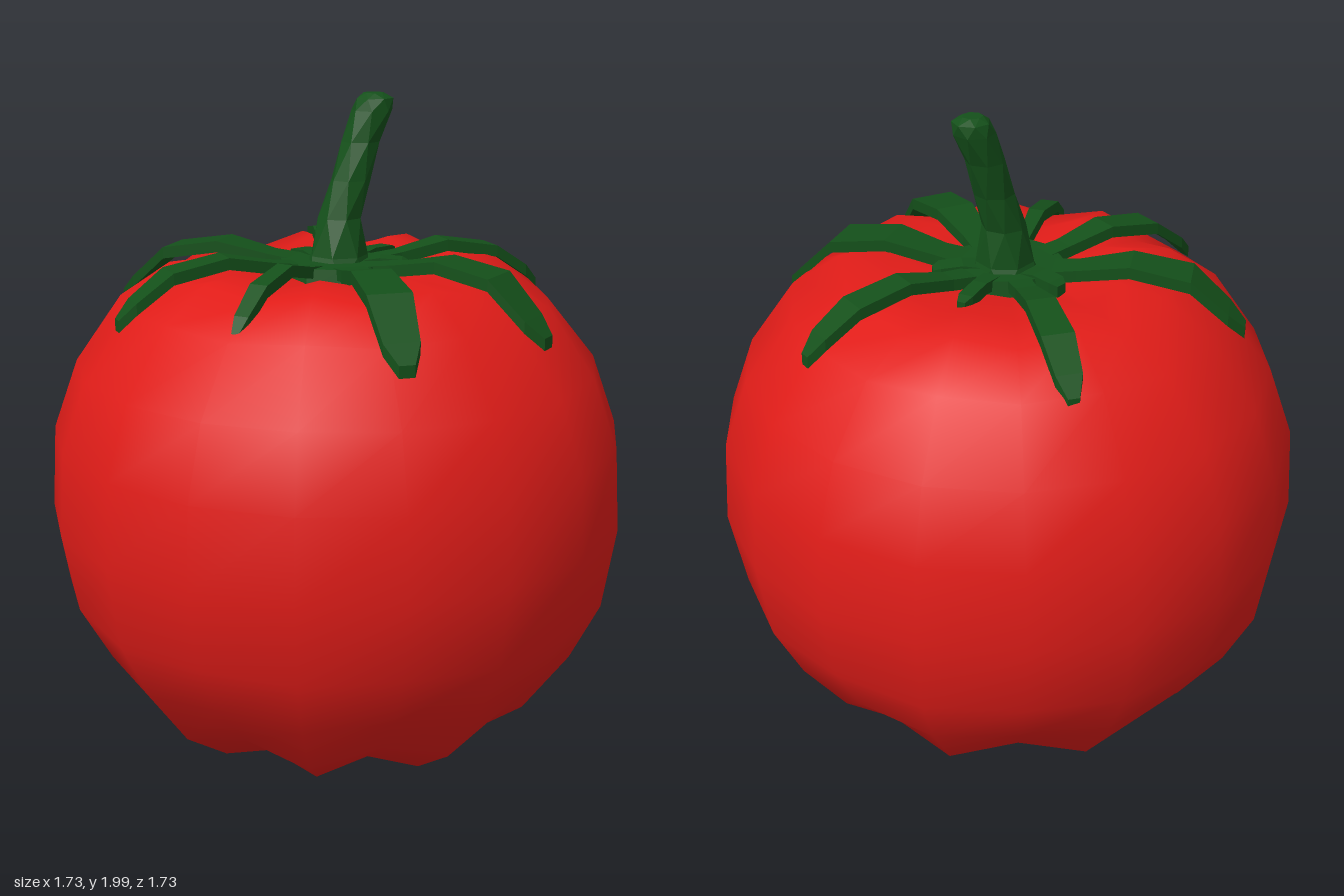
import * as THREE from 'three';

// Skin a list of equal-length rings (running along the axis) into one surface
function loft(rings) {
  const n = rings[0].length;
  const index = [];
  for (let i = 0; i < rings.length - 1; i++) {
    for (let j = 0; j < n; j++) {
      const k = (j + 1) % n;
      const a = i * n + j, b = i * n + k, c = a + n, d = b + n;
      index.push(a, c, b, b, c, d);
    }
  }
  const geometry = new THREE.BufferGeometry();
  geometry.setAttribute('position', new THREE.Float32BufferAttribute(rings.flat(2), 3));
  geometry.setIndex(index);
  geometry.computeVertexNormals();
  return geometry;
}

function ring(sides, point) {
  return Array.from({ length: sides }, (_, j) => point((j / sides) * Math.PI * 2, j));
}

function createFruit() {
  // radius, height, depth of the groove on every second side
  const profile = [
    [0, 0.03, 0], [0.22, 0.01, 0.01], [0.46, 0.03, 0.05], [0.61, 0.13, 0.05],
    [0.75, 0.32, 0.02], [0.84, 0.5, 0.01], [0.88, 0.75, 0], [0.865, 1.0, 0],
    [0.79, 1.21, 0], [0.65, 1.41, 0.015], [0.5, 1.51, 0.04], [0.36, 1.525, 0.04],
    [0.17, 1.48, 0.01], [0, 1.46, 0],
  ];
  const rings = profile.map(([r, y, groove]) => ring(18, (t, j) => {
    const a = t + Math.PI / 18;
    const dip = j % 2 === 0 ? groove : 0;
    const radius = r - dip * 0.6;
    const height = y + (y < 0.75 ? dip : -dip);
    return [Math.cos(a) * radius, height, Math.sin(a) * radius * 0.985];
  }));
  return loft(rings);
}

// A thin strip that rises from the centre, then droops to its tip
function createLeaf([x, z, tipY, halfWidth]) {
  const length = Math.hypot(x, z);
  const dx = x / length, dz = z / length;
  const short = length < 0.35;
  // fraction of length, height of the upper face, fraction of width
  const stations = short
    ? [[0.1, 1.51, 1.2], [0.6, 1.525, 0.9], [0.9, tipY + 0.01, 0.9], [1, tipY, 0.5]]
    : [[0.1, 1.51, 0.8], [0.3, 1.525, 0.65], [0.52, 1.555, 0.9],
      [0.77, 1.525, 1], [0.93, tipY + 0.065, 0.8], [1, tipY + 0.015, 0.35]];
  const rings = stations.map(([f, y, w]) => {
    const s = halfWidth * w, d = f * length;
    return [[s, -0.035], [s, 0], [-s, 0], [-s, -0.035]]
      .map(([side, up]) => [dx * d - dz * side, y + up, dz * d + dx * side]);
  });
  // close the tip
  const tip = rings[rings.length - 1];
  const middle = [0, 1, 2].map((i) => (tip[0][i] + tip[2][i]) / 2);
  rings.push(tip.map(() => middle));
  return loft(rings);
}

function createStem() {
  // centre x, height, centre z, radius
  const path = [
    [0, 1.46, 0, 0.11], [0.005, 1.53, -0.005, 0.088], [0.005, 1.64, -0.015, 0.066],
    [0.025, 1.75, -0.045, 0.06], [0.04, 1.86, -0.08, 0.058], [0.062, 1.95, -0.11, 0.062],
    [0.068, 1.985, -0.118, 0.055], [0.065, 2.0, -0.115, 0.03], [0.065, 2.0, -0.115, 0],
  ];
  return loft(path.map(([x, y, z, r], i) => ring(7, (t) => {
    const a = t + i * 0.4;
    return [x + Math.cos(a) * r, y, z + Math.sin(a) * r];
  })));
}

export function createModel() {
  const model = new THREE.Group();
  model.name = 'tomato';
  const red = new THREE.MeshStandardMaterial({ color: 0xe01c18 });
  const green = new THREE.MeshStandardMaterial({ color: 0x14501a, flatShading: true });

  const add = (parent, name, geometry, material) => {
    const mesh = new THREE.Mesh(geometry, material);
    mesh.name = name;
    parent.add(mesh);
    return mesh;
  };

  add(model, 'fruit', createFruit(), red);

  // Calyx: small disc with long and short leaves around it
  const calyx = new THREE.Group();
  calyx.name = 'calyx';
  model.add(calyx);
  add(calyx, 'calyxDisc', new THREE.CylinderGeometry(0.16, 0.17, 0.06, 10), green)
    .position.set(0, 1.487, 0.02);
  // tip x, tip z, tip height, half width
  const leaves = [
    [0.7, 0.045, 1.35, 0.072], [-0.7, 0.085, 1.36, 0.068],
    [0.48, 0.51, 1.35, 0.066], [-0.425, 0.54, 1.38, 0.05],
    [0, 0.6, 1.39, 0.028], [0.43, -0.52, 1.39, 0.048],
    [-0.35, -0.54, 1.39, 0.048], [0.05, -0.28, 1.51, 0.025],
    [0.2, -0.09, 1.51, 0.035], [-0.19, -0.09, 1.51, 0.035],
  ];
  leaves.forEach((leaf, i) => add(calyx, `leaf${i + 1}`, createLeaf(leaf), green));

  add(model, 'stem', createStem(), green);
  return model;
}
